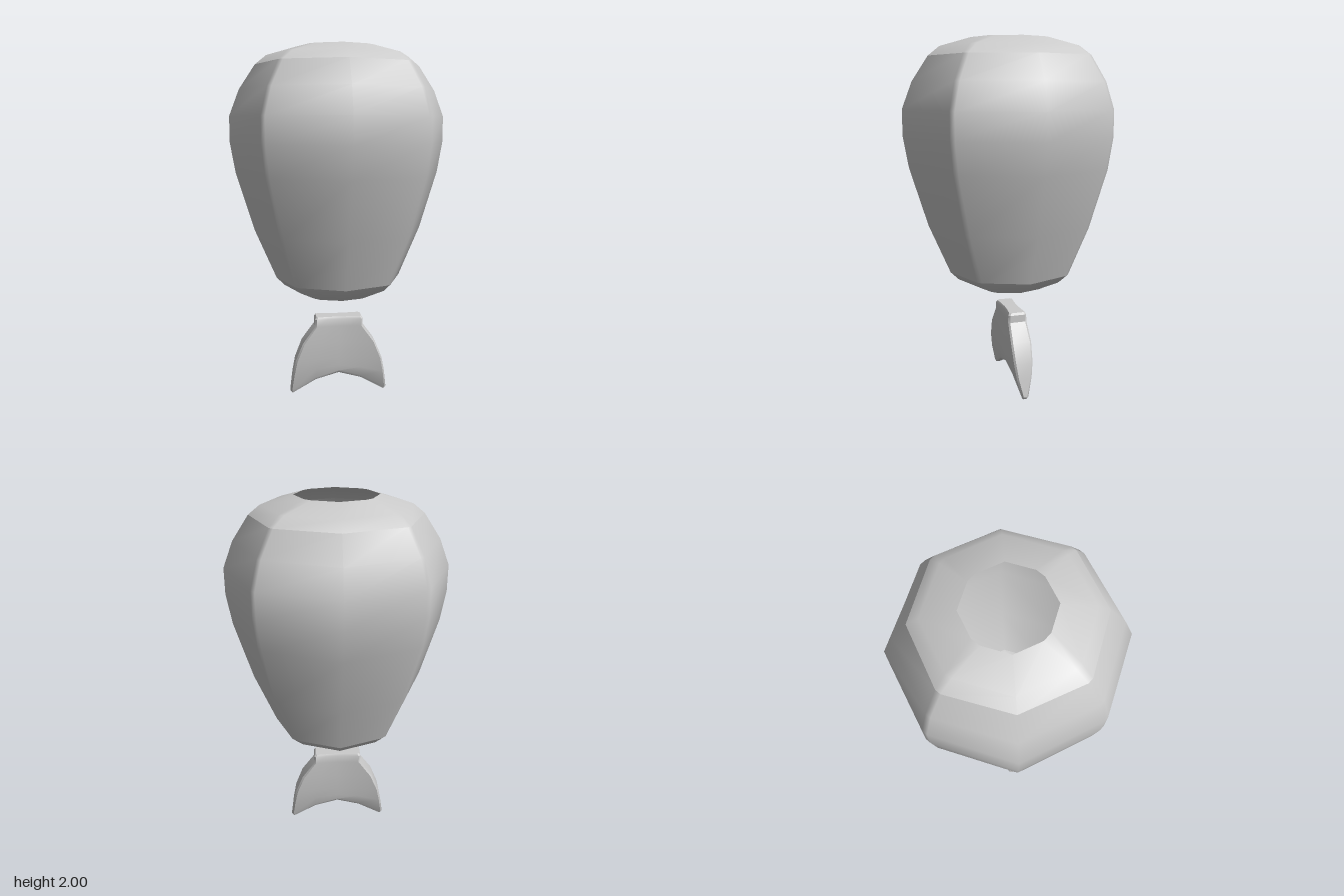
import * as THREE from 'three';
import { toCreasedNormals } from 'three/addons/utils/BufferGeometryUtils.js';

// Skin a stack of closed loops (bottom to top, each loop running +z -> +x -> -z -> -x).
function loft(rings, capPairs = []) {
  const n = rings[0].length, index = [];
  const quad = (a, b, c, d) => index.push(a, b, c, a, c, d);
  for (let r = 0; r < rings.length - 1; r++) {
    for (let i = 0; i < n; i++) {
      const j = (i + 1) % n;
      quad(r * n + i, r * n + j, (r + 1) * n + j, (r + 1) * n + i);
    }
  }
  // End caps bridge matching front and back points.
  const top = (rings.length - 1) * n;
  for (let k = 0; k < capPairs.length - 1; k++) {
    const [f0, b0] = capPairs[k], [f1, b1] = capPairs[k + 1];
    quad(top + f0, top + f1, top + b1, top + b0);
    quad(b0, b1, f1, f0);
  }
  const geo = new THREE.BufferGeometry();
  geo.setAttribute('position', new THREE.Float32BufferAttribute(rings.flat(2), 3));
  geo.setIndex(index);
  geo.computeVertexNormals();
  return geo;
}

// Octagonal ring: sharp corners on the axes, chamfered corners on the diagonals.
function octagonRing([y, r, diagonal, chamfer]) {
  const lo = diagonal - chamfer, hi = diagonal + chamfer, loop = [];
  for (let q = 0; q < 4; q++) {
    const s = Math.round(Math.sin(q * Math.PI / 2)), c = Math.round(Math.cos(q * Math.PI / 2));
    for (const [x, z] of [[0, r], [lo, hi], [hi, lo]]) {
      loop.push([x * c + z * s, y, z * c - x * s]);
    }
  }
  return loop;
}

// Fin cross-section with bevelled ends; height and thickness vary from centre to edge.
function finRing([w, yEdge, yMid, zEdge, zMid]) {
  const bevel = Math.min(0.01, zEdge * 0.5);
  const front = [-1, -0.5, 0, 0.5, 1].map((t) => {
    const k = Math.abs(t) ** 1.6;
    return [t * (w - bevel), yMid + (yEdge - yMid) * k, zMid + (zEdge - zMid) * k];
  });
  const back = front.map(([x, y, z]) => [x, y, -z]).reverse();
  const z = zEdge - bevel;
  return [...front, [w, yEdge, z], [w, yEdge, -z], ...back, [-w, yEdge, -z], [-w, yEdge, z]];
}

export function createModel() {
  const group = new THREE.Group();
  const shell = new THREE.MeshStandardMaterial({ color: 0xcccccc, side: THREE.DoubleSide });
  const solid = new THREE.MeshStandardMaterial({ color: 0xcccccc });

  // Hollow body: height, axis radius, diagonal position, chamfer half-width.
  const lower = [[0.6, 0.187, 0.135, 0.016], [0.655, 0.312, 0.218, 0.013], [0.7, 0.358, 0.252, 0.011]];
  const middle = [
    [0.7, 0.358, 0.252, 0.011], [0.98, 0.478, 0.335, 0.011], [1.305, 0.577, 0.405, 0.011],
    [1.475, 0.606, 0.424, 0.011], [1.62, 0.606, 0.424, 0.011], [1.765, 0.55, 0.39, 0.011],
    [1.9, 0.46, 0.33, 0.011],
  ];
  const upper = [[1.9, 0.46, 0.33, 0.011], [1.95, 0.398, 0.28, 0.013], [2, 0.225, 0.154, 0.018]];
  const body = new THREE.Group();
  body.name = 'body';
  // Separate bands keep a sharp crease at the shoulder and the base.
  for (const [name, rows] of Object.entries({ bodyBase: lower, bodyWall: middle, bodyShoulder: upper })) {
    const mesh = new THREE.Mesh(loft(rows.map(octagonRing)), shell);
    mesh.name = name;
    body.add(mesh);
  }
  group.add(body);

  // Tail fin: half-width, edge height, centre height, edge and centre half-thickness.
  const finRows = [
    [0.278, 0, 0.12, 0.014, 0.028], [0.287, 0.014, 0.132, 0.02, 0.036],
    [0.272, 0.12, 0.165, 0.044, 0.038], [0.255, 0.205, 0.215, 0.055, 0.042],
    [0.213, 0.31, 0.31, 0.06, 0.045], [0.14, 0.41, 0.41, 0.055, 0.045],
    [0.14, 0.452, 0.452, 0.054, 0.044], [0.132, 0.465, 0.465, 0.046, 0.037],
  ];
  const pairs = [-1, 0, 1, 2, 3, 4, 5].map((j) => [(j + 14) % 14, 11 - j]);
  const fin = new THREE.Mesh(toCreasedNormals(loft(finRows.map(finRing), pairs), 0.5), solid);
  fin.name = 'tailFin';
  group.add(fin);

  return group;
}
